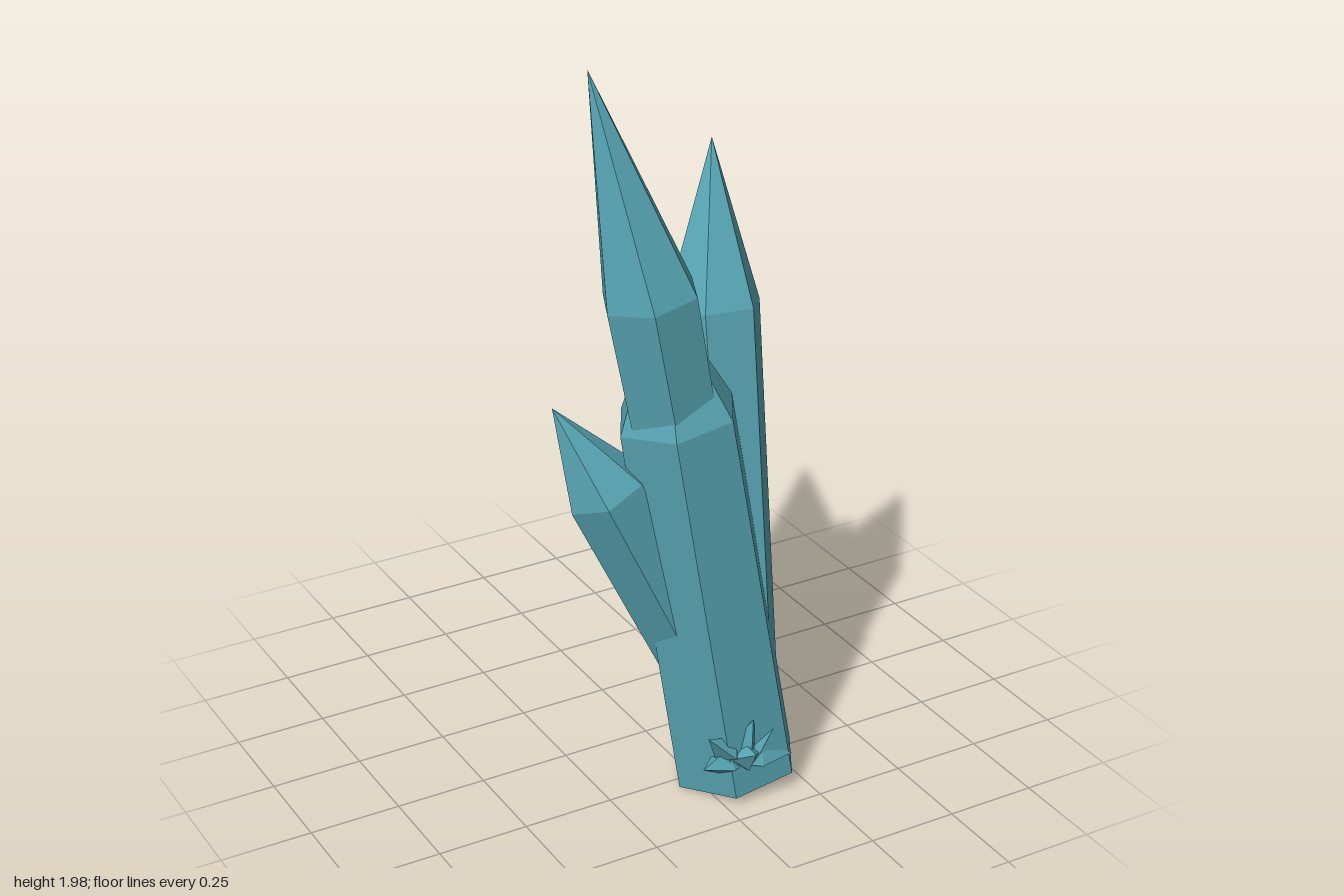
import * as THREE from 'three';

const UP = new THREE.Vector3(0, 1, 0);

// Faceted crystal: a prism from base to shoulder, closed by a point at the tip
function crystalGeometry({ base, shoulder, tip, r0, r1, phase = 0, sides = 6 }) {
  const b = new THREE.Vector3(...base);
  const s = new THREE.Vector3(...shoulder);
  const t = new THREE.Vector3(...tip);
  const turn = new THREE.Quaternion().setFromUnitVectors(UP, s.clone().sub(b).normalize());
  const corner = (centre, r, i) => {
    const a = THREE.MathUtils.degToRad(phase) + (i / sides) * Math.PI * 2;
    return new THREE.Vector3(Math.cos(a) * r, 0, Math.sin(a) * r).applyQuaternion(turn).add(centre);
  };
  const points = [];
  for (let i = 0; i < sides; i++) {
    const a0 = corner(b, r0, i), b0 = corner(b, r0, i + 1);
    const a1 = corner(s, r1, i), b1 = corner(s, r1, i + 1);
    points.push(b0, a0, a1, b0, a1, b1, b1, a1, t, b, a0, b0);
  }
  const geometry = new THREE.BufferGeometry().setFromPoints(points);
  geometry.computeVertexNormals();
  return geometry;
}

export function createModel() {
  const group = new THREE.Group();
  group.name = 'crystalCluster';
  const teal = new THREE.MeshStandardMaterial({ color: 0x56a3b1, flatShading: true });
  teal.name = 'teal crystal';

  const add = (name, spec) => {
    const mesh = new THREE.Mesh(crystalGeometry(spec), teal);
    mesh.name = name;
    group.add(mesh);
  };

  // Thick trunk and the large crystals growing out of it
  add('trunkCrystal', {
    base: [0.115, 0.035, 0.285], shoulder: [-0.035, 1.08, 0.22], tip: [-0.07, 1.42, 0.2],
    r0: 0.175, r1: 0.165,
  });
  add('tallCrystal', {
    base: [0.08, 0.3, 0.27], shoulder: [-0.11, 1.42, 0.215], tip: [-0.22, 1.99, 0.105],
    r0: 0.11, r1: 0.13, phase: -6,
  });
  add('leftCrystal', {
    base: [0.125, 0.15, 0.28], shoulder: [0.175, 1.27, 0.04], tip: [0.24, 1.68, -0.08],
    r0: 0.12, r1: 0.133, phase: 8,
  });
  add('backCrystal', {
    base: [0.16, 0.38, 0.19], shoulder: [0.2, 1.04, -0.2], tip: [0.205, 1.49, -0.48],
    r0: 0.1, r1: 0.135, phase: 30,
  });
  add('lowerBackCrystal', {
    base: [0.17, 0.3, 0.2], shoulder: [0.225, 0.78, -0.16], tip: [0.285, 1.0, -0.32],
    r0: 0.1, r1: 0.118, phase: 20,
  });
  add('rightCrystal', {
    base: [0.02, 0.36, 0.24], shoulder: [-0.22, 0.9, 0.18], tip: [-0.34, 1.13, 0.125],
    r0: 0.1, r1: 0.112, phase: -5,
  });

  // Fan of small shards at the foot
  const shardTips = [
    [-0.05, 0.23, 0.42], [0.08, 0.255, 0.43], [0.16, 0.22, 0.42],
    [0.06, 0.18, 0.48], [0.2, 0.12, 0.435], [-0.065, 0.14, 0.42],
  ];
  const root = new THREE.Vector3(0.06, 0.13, 0.39);
  for (const tip of shardTips) {
    const shoulder = root.clone().lerp(new THREE.Vector3(...tip), 0.4).toArray();
    add('footShard', { base: root.toArray(), shoulder, tip, r0: 0.03, r1: 0.042, sides: 4 });
  }
  return group;
}
